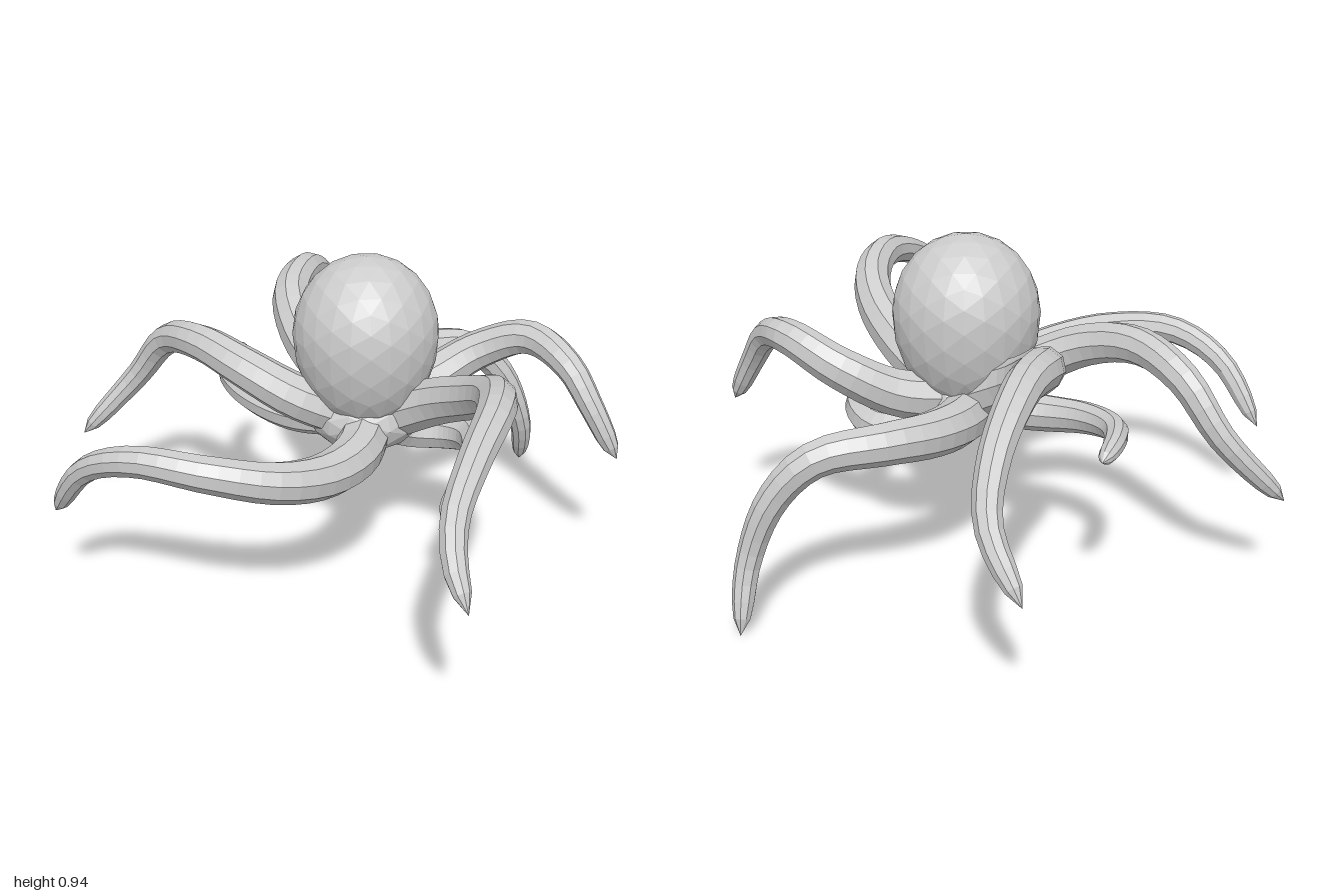
import * as THREE from 'three';

const material = new THREE.MeshStandardMaterial({ color: 0xcccccc, flatShading: true });
const SEGMENTS = 26, SIDES = 9;

// Centre line of each arm, from the hub out to the tip
const ARMS = {
  backArm: [[0.07, 0.48, -0.1], [-0.07, 0.58, -0.23], [-0.122, 0.68, -0.4], [-0.066, 0.705, -0.6], [0.0, 0.6, -0.78], [0.012, 0.48, -0.88], [-0.065, 0.335, -0.995]],
  backLeftArm: [[0.07, 0.44, -0.08], [0.11, 0.46, -0.25], [0.18, 0.475, -0.36], [0.29, 0.485, -0.44], [0.46, 0.465, -0.49], [0.57, 0.36, -0.5], [0.645, 0.18, -0.51], [0.665, 0, -0.585]],
  leftArm: [[0.12, 0.48, -0.08], [0.28, 0.51, -0.14], [0.43, 0.59, -0.165], [0.57, 0.655, -0.1], [0.66, 0.62, 0.03], [0.715, 0.53, 0.095], [0.795, 0.375, 0.145]],
  frontLeftCurledArm: [[0.12, 0.45, -0.04], [0.22, 0.38, -0.09], [0.33, 0.375, -0.065], [0.39, 0.395, 0.01], [0.395, 0.41, 0.11], [0.36, 0.38, 0.21], [0.275, 0.28, 0.305]],
  frontArm: [[0.14, 0.46, 0], [0.28, 0.56, 0.12], [0.36, 0.63, 0.25], [0.39, 0.69, 0.38], [0.362, 0.722, 0.55], [0.29, 0.68, 0.71], [0.23, 0.6, 0.84], [0.222, 0.53, 0.92], [0.247, 0.445, 1.0]],
  frontRightArm: [[0.09, 0.44, 0.02], [0.04, 0.43, 0.2], [-0.05, 0.435, 0.32], [-0.18, 0.465, 0.405], [-0.35, 0.505, 0.425], [-0.55, 0.52, 0.37], [-0.69, 0.45, 0.28], [-0.8, 0.27, 0.18]],
  rightArm: [[0.06, 0.46, 0], [-0.12, 0.54, 0.025], [-0.26, 0.61, -0.02], [-0.39, 0.645, -0.13], [-0.5, 0.6, -0.27], [-0.6, 0.46, -0.335], [-0.785, 0.265, -0.318]],
  backRightArm: [[0.05, 0.44, -0.05], [-0.12, 0.43, -0.09], [-0.25, 0.45, -0.18], [-0.315, 0.47, -0.3], [-0.31, 0.48, -0.41], [-0.27, 0.47, -0.52]],
};
const SLIM_ARM = 'backRightArm';

// Thick at the base, slim near the end, rounded off at the tip
function armRadius(t) {
  const tip = Math.sqrt(Math.max(0, 1 - Math.pow(Math.max(0, (t - 0.9) / 0.1), 2)));
  return THREE.MathUtils.lerp(0.076, 0.027, t) * tip;
}

function createArm(name, points) {
  const curve = new THREE.CatmullRomCurve3(points.map(p => new THREE.Vector3(...p)));
  const geometry = new THREE.TubeGeometry(curve, SEGMENTS, 1, SIDES);
  const position = geometry.attributes.position;
  const vertex = new THREE.Vector3();
  const scale = name === SLIM_ARM ? 0.85 : 1;
  for (let ring = 0; ring <= SEGMENTS; ring++) {
    const t = ring / SEGMENTS;
    const centre = curve.getPointAt(t);
    for (let side = 0; side <= SIDES; side++) {
      const i = ring * (SIDES + 1) + side;
      vertex.fromBufferAttribute(position, i).sub(centre);
      vertex.multiplyScalar(armRadius(t) * scale).add(centre);
      position.setXYZ(i, vertex.x, vertex.y, vertex.z);
    }
  }
  geometry.computeVertexNormals();
  const arm = new THREE.Mesh(geometry, material);
  arm.name = name;
  return arm;
}

// Egg-shaped head, domed above and longer below
function createHead() {
  const geometry = new THREE.IcosahedronGeometry(1, 3);
  const position = geometry.attributes.position;
  for (let i = 0; i < position.count; i++) {
    const y = position.getY(i);
    position.setXYZ(i, position.getX(i) * 0.209, y * (y < 0 ? 0.29 : 0.225), position.getZ(i) * 0.209);
  }
  geometry.computeVertexNormals();
  const head = new THREE.Mesh(geometry, material);
  head.name = 'head';
  head.position.set(0.085, 0.71, -0.03);
  return head;
}

// Rounded hub where the arms meet
function createHub() {
  const hub = new THREE.Mesh(new THREE.IcosahedronGeometry(1, 2), material);
  hub.name = 'armHub';
  hub.scale.set(0.17, 0.11, 0.165);
  hub.position.set(0.085, 0.465, -0.03);
  return hub;
}

export function createModel() {
  const model = new THREE.Group();
  model.name = 'octopus';
  model.add(createHead(), createHub());
  for (const [name, points] of Object.entries(ARMS)) model.add(createArm(name, points));
  return model;
}
